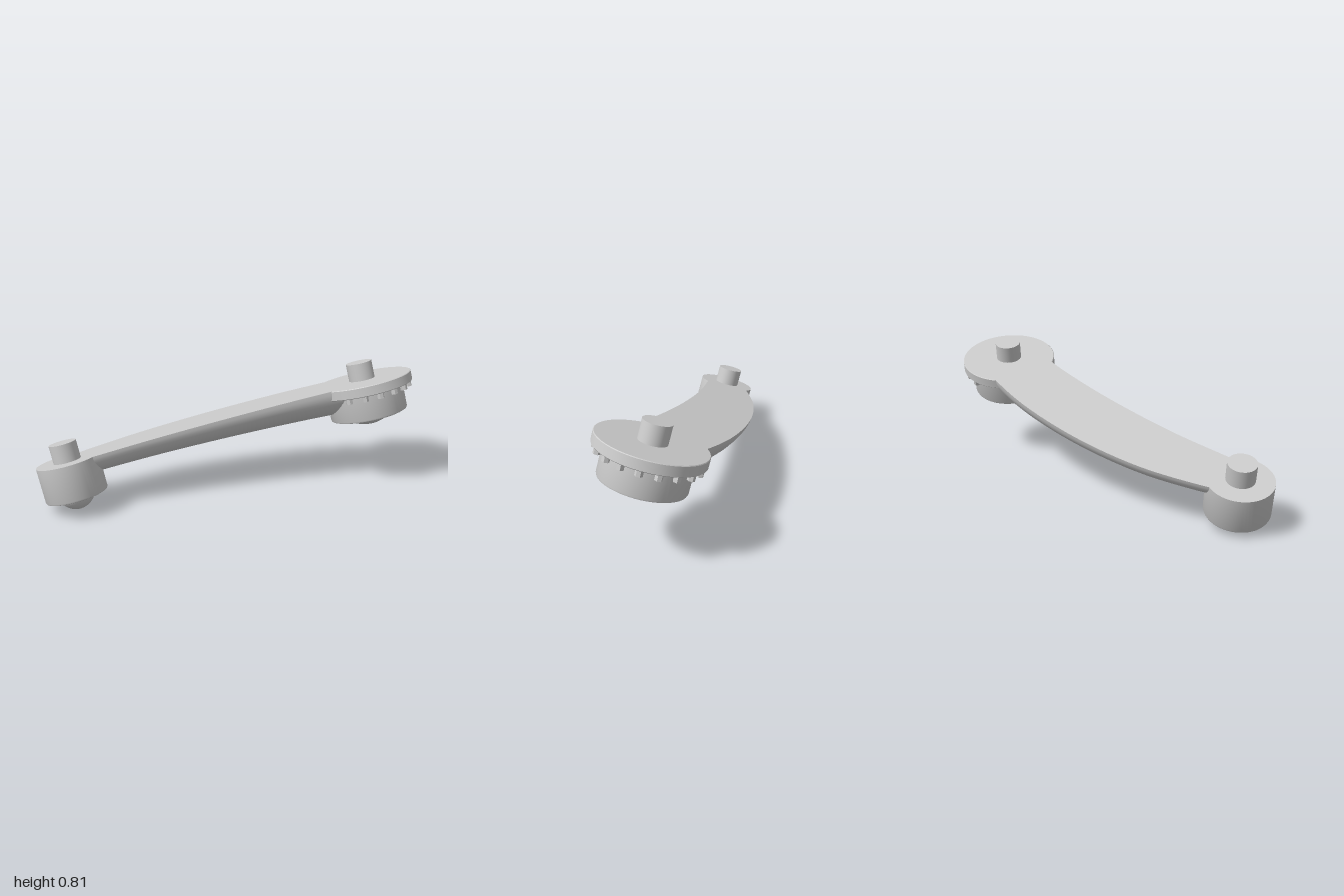
import * as THREE from 'three';
import { toCreasedNormals } from 'three/addons/utils/BufferGeometryUtils.js';

const material = new THREE.MeshStandardMaterial({ color: 0xcccccc });

function add(parent, name, geometry, x = 0, y = 0, z = 0) {
  const mesh = new THREE.Mesh(geometry, material);
  mesh.name = name;
  mesh.position.set(x, y, z);
  parent.add(mesh);
  return mesh;
}

function lathe(points, segments = 64) {
  const profile = points.map(([r, y]) => new THREE.Vector2(r, y));
  return toCreasedNormals(new THREE.LatheGeometry(profile, segments), 0.6);
}

// Round housing with a recessed socket, a ball and a top pin; its top face is at y = 0
function joint(name, x, z, { radius, depth, socket, ball, ballY }) {
  const group = new THREE.Group();
  group.name = name;
  group.position.set(x, 0, z);
  const b = 0.012;
  add(group, 'housing', lathe([
    [0, -depth + 0.04], [socket, -depth + 0.04], [socket, -depth],
    [radius - b, -depth], [radius - b * 0.3, -depth + b * 0.3], [radius, -depth + b],
    [radius, 0], [0, 0],
  ]));
  // Lower cap of the ball, with its rim hidden in the socket
  const rim = Math.acos((depth - 0.045 + ballY) / ball);
  add(group, 'ball', new THREE.SphereGeometry(ball, 48, 16, 0, Math.PI * 2, Math.PI - rim, rim), 0, ballY, 0);
  add(group, 'pin', new THREE.CylinderGeometry(0.085, 0.085, 0.125, 48), 0, 0.0525, 0);
  return group;
}

// Curved arm: flat on top, half-elliptical below, growing deeper to the large end
function armGeometry() {
  const edge = (pts) => new THREE.CatmullRomCurve3(pts.map(([x, z]) => new THREE.Vector3(x, 0, z)));
  const left = edge([[-0.835, 0.71], [-0.802, 0.61], [-0.64, 0.25], [-0.375, -0.13], [-0.03, -0.49], [0.265, -0.72], [0.4, -0.8]]);
  const right = edge([[-0.58, 0.82], [-0.54, 0.767], [-0.3, 0.45], [0, 0.115], [0.27, -0.15], [0.52, -0.365], [0.66, -0.46]]);
  const steps = 48, sides = 24, ring = sides + 1;
  const positions = [], indices = [];
  for (let i = 0; i <= steps; i++) {
    const t = i / steps;
    const l = left.getPointAt(t), r = right.getPointAt(t);
    const depth = THREE.MathUtils.lerp(0.115, 0.195, t);
    for (let j = 0; j < ring; j++) {
      const a = Math.PI * j / sides;
      const p = l.clone().lerp(r, (1 - Math.cos(a)) / 2);
      positions.push(p.x, -depth * Math.sin(a), p.z);
    }
  }
  for (let i = 0; i < steps; i++) {
    for (let j = 0; j < ring; j++) {
      const k = (j + 1) % ring;
      const a = i * ring + j, b = i * ring + k, c = a + ring, d = b + ring;
      indices.push(a, c, b, b, c, d);
    }
  }
  const geometry = new THREE.BufferGeometry();
  geometry.setAttribute('position', new THREE.Float32BufferAttribute(positions, 3));
  geometry.setIndex(indices);
  return toCreasedNormals(geometry, 0.7);
}

export function createModel() {
  const model = new THREE.Group();
  model.name = 'pivotArm';

  // Everything is built level, then tilted
  const tilted = new THREE.Group();
  tilted.name = 'tiltedArm';
  tilted.rotation.z = THREE.MathUtils.degToRad(16.2);
  tilted.position.y = 0.509;
  model.add(tilted);

  add(tilted, 'arm', armGeometry());

  tilted.add(joint('smallJoint', -0.732, 0.803, {
    radius: 0.195, depth: 0.23, socket: 0.132, ball: 0.116, ballY: -0.198,
  }));

  const large = joint('largeJoint', 0.592, -0.68, {
    radius: 0.255, depth: 0.24, socket: 0.182, ball: 0.23, ballY: -0.075,
  });
  tilted.add(large);

  // Flange disc around the large joint
  add(large, 'flange', lathe([
    [0, -0.065], [0.316, -0.065], [0.32, -0.061], [0.32, -0.004], [0.316, 0], [0, 0],
  ], 96));

  // Bolt heads under the flange on the side away from the arm
  const boltGeometry = toCreasedNormals(new THREE.CylinderGeometry(0.022, 0.022, 0.036, 6), 0.3);
  for (let i = 0; i < 12; i++) {
    const angle = THREE.MathUtils.degToRad(84 - 20 * i);
    const bolt = add(large, 'bolt', boltGeometry, 0.29 * Math.cos(angle), -0.082, 0.29 * Math.sin(angle));
    bolt.rotation.y = -angle;
  }
  return model;
}
